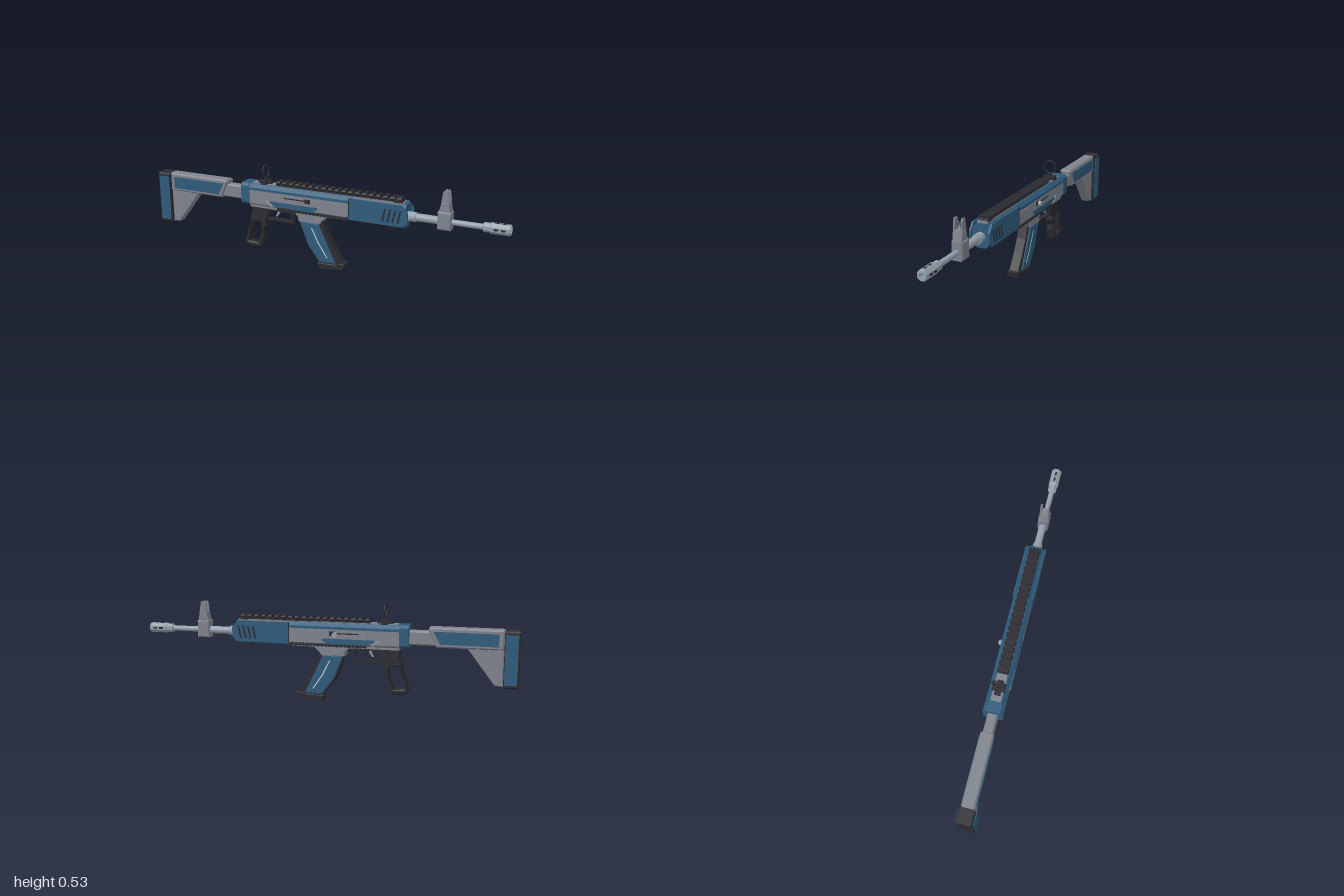
import * as THREE from 'three';

const mat = (name, color) => Object.assign(new THREE.MeshStandardMaterial({ color }), { name });

export function createModel() {
  const blue = mat('blue', 0x2f5b7b), grey = mat('grey', 0x7f838d), steel = mat('steel', 0x939faa);
  const black = mat('black', 0x2b2b31), pale = mat('pale', 0xb9c6d0);
  const root = new THREE.Group();
  root.name = 'rifle';
  root.position.z = 0.005;

  const add = (name, geo, m) => {
    const mesh = new THREE.Mesh(geo, m);
    mesh.name = name;
    root.add(mesh);
    return mesh;
  };
  // box given by its limits in x and y, and centre and half width in z
  const box = (name, m, x0, x1, y0, y1, half, z = 0) =>
    add(name, new THREE.BoxGeometry(x1 - x0, y1 - y0, half * 2).translate((x0 + x1) / 2, (y0 + y1) / 2, z), m);
  const shapeOf = (pts, hole) => {
    const s = new THREE.Shape(pts.map(p => new THREE.Vector2(...p)));
    if (hole) s.holes.push(new THREE.Path(hole.map(p => new THREE.Vector2(...p))));
    return s;
  };
  // side profile extruded across z
  const slab = (name, m, pts, half, { z = 0, bevel = 0, hole } = {}) => {
    const geo = new THREE.ExtrudeGeometry(shapeOf(pts, hole), {
      depth: 2 * (half - bevel), bevelEnabled: bevel > 0, bevelSize: bevel,
      bevelThickness: bevel, bevelOffset: -bevel, bevelSegments: 1,
    });
    return add(name, geo.translate(0, 0, z - half + bevel), m);
  };
  // thin painted plate on both sides
  const plates = (name, m, pts, z, t = 0.004) => {
    for (const s of [1, -1]) slab(name, m, pts, t / 2, { z: s * (z + t / 2) });
  };
  const rect = (x0, x1, y0, y1) => [[x0, y0], [x1, y0], [x1, y1], [x0, y1]];
  // chamfered cross-section extruded along x
  const prism = (name, m, x0, x1, half, y0, y1, cTop, cBottom) => {
    const pts = [[-half + cBottom, y0], [half - cBottom, y0], [half, y0 + cBottom], [half, y1 - cTop],
      [half - cTop, y1], [-half + cTop, y1], [-half, y1 - cTop], [-half, y0 + cBottom]];
    const geo = new THREE.ExtrudeGeometry(shapeOf(pts), { depth: x1 - x0, bevelEnabled: false });
    return add(name, geo.rotateY(Math.PI / 2).translate(x0, 0, 0), m);
  };
  const AXIS = 0.357;
  const rod = (name, m, x0, x1, r, y = AXIS, sides = 20) =>
    add(name, new THREE.CylinderGeometry(r, r, x1 - x0, sides).rotateZ(-Math.PI / 2).translate((x0 + x1) / 2, y, 0), m);

  // Shoulder stock
  slab('buttPad', black, rect(-1, -0.922, 0.13, 0.42), 0.043, { bevel: 0.008 });
  plates('buttPadPanel', blue, rect(-0.99, -0.926, 0.148, 0.402), 0.042);
  for (let i = 0; i < 9; i++) box('buttPadRib', black, -1, -0.99, 0.15 + i * 0.028, 0.164 + i * 0.028, 0.038);
  slab('stockBody', grey, [[-0.922, 0.32], [-0.585, 0.32], [-0.545, 0.41], [-0.55, 0.422], [-0.922, 0.422]], 0.034, { bevel: 0.008 });
  plates('stockPanel', blue, [[-0.895, 0.337], [-0.605, 0.337], [-0.57, 0.402], [-0.895, 0.402]], 0.033);
  slab('stockBrace', grey, [[-0.922, 0.135], [-0.88, 0.138], [-0.74, 0.322], [-0.922, 0.322]], 0.026,
    { bevel: 0.005, hole: [[-0.882, 0.2], [-0.8, 0.315], [-0.882, 0.315]] });
  prism('bufferTube', grey, -0.6, -0.44, 0.026, 0.326, 0.4, 0.008, 0.008);

  // Receiver
  prism('receiver', grey, -0.405, 0.19, 0.046, 0.307, 0.42, 0.015, 0.012);
  prism('receiverRearCap', blue, -0.448, -0.4, 0.051, 0.31, 0.428, 0.014, 0.014);
  prism('receiverTopCover', blue, -0.405, 0.19, 0.05, 0.394, 0.426, 0.018, 0);
  box('receiverTopStrip', grey, -0.39, 0.47, 0.418, 0.43, 0.026);
  plates('receiverUpperPanel', grey, rect(-0.23, -0.02, 0.345, 0.392), 0.046, 0.003);
  plates('receiverFrontPanel', grey, rect(0, 0.18, 0.322, 0.385), 0.046, 0.003);
  plates('ejectionSlot', black, rect(-0.19, -0.05, 0.37, 0.376), 0.049, 0.002);
  plates('portOpening', black, rect(-0.065, -0.035, 0.36, 0.383), 0.049, 0.002);
  plates('lowerBlueGuard', blue, [[-0.24, 0.318], [-0.02, 0.318], [0.005, 0.335], [0.005, 0.345], [-0.27, 0.345], [-0.27, 0.336]], 0.046, 0.006);
  plates('selectorLever', steel, [[-0.3, 0.345], [-0.29, 0.345], [-0.255, 0.315], [-0.265, 0.315]], 0.046, 0.004);
  plates('lowerSideRail', black, rect(-0.23, 0.18, 0.304, 0.312), 0.044, 0.006);
  for (let i = 0; i < 20; i++)
    plates('lowerSideRailTooth', black, rect(-0.226 + i * 0.0205, -0.216 + i * 0.0205, 0.302, 0.317), 0.046, 0.006);
  box('lowerReceiver', grey, -0.4, 0.17, 0.297, 0.31, 0.036);
  box('triggerHousing', black, -0.4, -0.14, 0.285, 0.3, 0.024);
  add('chargingHandle', new THREE.CylinderGeometry(0.014, 0.014, 0.02, 12).rotateX(Math.PI / 2).translate(-0.065, 0.368, -0.056), steel);

  // Handguard
  prism('handguardCore', blue, 0.185, 0.485, 0.046, 0.3, 0.42, 0.022, 0.022);
  plates('handguardSide', blue,
    [[0.185, 0.31], [0.475, 0.31], [0.5, 0.335], [0.5, 0.385], [0.47, 0.422], [0.185, 0.422]], 0.045, 0.0095);
  for (let i = 0; i < 4; i++) {
    const x = 0.365 + i * 0.027;
    plates('handguardVent', black, [[x, 0.33], [x + 0.009, 0.328], [x + 0.023, 0.393], [x + 0.014, 0.395]], 0.0535, 0.0025);
  }
  plates('handguardSeam', black, rect(0.183, 0.188, 0.31, 0.422), 0.0535, 0.002);
  add('handguardStud', new THREE.CylinderGeometry(0.018, 0.014, 0.02, 12).translate(0.413, 0.294, 0), black);

  // Top rail
  box('topRail', black, -0.245, 0.46, 0.428, 0.44, 0.026);
  for (let i = 0; i < 19; i++) prism('railTooth', black, -0.243 + i * 0.0378, -0.221 + i * 0.0378, 0.031, 0.435, 0.452, 0.006, 0.006);
  slab('railEnd', black, [[0.42, 0.425], [0.465, 0.425], [0.458, 0.445], [0.42, 0.45]], 0.028);

  // Rear ring sight
  box('ringSightBase', black, -0.36, -0.282, 0.426, 0.44, 0.016);
  box('ringSightClamp', black, -0.338, -0.302, 0.426, 0.447, 0.033);
  box('ringSightStem', black, -0.327, -0.313, 0.44, 0.463, 0.008);
  add('ringSight', new THREE.TorusGeometry(0.0345, 0.0038, 8, 36).rotateY(Math.PI / 2).translate(-0.32, 0.496, 0), black);

  // Barrel and muzzle
  rod('gasBlock', steel, 0.48, 0.53, 0.026, AXIS, 8);
  rod('barrelSleeve', steel, 0.48, 0.65, 0.02);
  rod('barrel', steel, 0.6, 0.9, 0.0145);
  const muzzle = new THREE.LatheGeometry([[0.0145, 0.862], [0.024, 0.868], [0.024, 0.897], [0.028, 0.904], [0.028, 0.993],
    [0.024, 1], [0.013, 1], [0.013, 0.95], [0, 0.95]].map(p => new THREE.Vector2(...p)), 8, Math.PI / 8).toNonIndexed();
  muzzle.computeVertexNormals();
  add('muzzleBrake', muzzle.rotateZ(-Math.PI / 2).translate(0, AXIS, 0), steel);
  for (const [x0, x1] of [[0.92, 0.942], [0.955, 0.977]]) {
    plates('muzzleSlot', black, rect(x0, x1, AXIS - 0.005, AXIS + 0.005), 0.0255, 0.0015);
    box('muzzleTopSlot', black, x0, x1, AXIS + 0.0255, AXIS + 0.027, 0.005);
  }

  // Front sight
  slab('frontSightBlock', grey, rect(0.643, 0.712, 0.317, 0.41), 0.029, { bevel: 0.006 });
  slab('frontSightTower', grey, [[0.648, 0.408], [0.707, 0.408], [0.698, 0.457], [0.66, 0.457]], 0.025, { bevel: 0.003 });
  for (const s of [1, -1])
    slab('frontSightEar', grey, [[0.658, 0.45], [0.7, 0.45], [0.692, 0.505], [0.688, 0.513], [0.668, 0.513], [0.664, 0.505]], 0.004, { z: s * 0.019 });
  add('frontSightPost', new THREE.ConeGeometry(0.006, 0.045, 8).translate(0.68, 0.474, 0), steel);

  // Pistol grip, trigger and guard
  slab('pistolGrip', black, [[-0.4, 0.298], [-0.29, 0.298], [-0.298, 0.25], [-0.318, 0.215], [-0.315, 0.19], [-0.333, 0.155],
    [-0.33, 0.125], [-0.345, 0.07], [-0.36, 0.06], [-0.435, 0.065], [-0.45, 0.085], [-0.41, 0.205], [-0.412, 0.235], [-0.4, 0.255]], 0.024,
    { bevel: 0.006, hole: [[-0.428, 0.09], [-0.37, 0.086], [-0.345, 0.15], [-0.342, 0.2], [-0.352, 0.208], [-0.4, 0.208]] });
  box('triggerGuardBottom', black, -0.315, -0.15, 0.226, 0.237, 0.014);
  box('triggerGuardFront', black, -0.162, -0.15, 0.226, 0.292, 0.014);
  slab('trigger', steel, [[-0.25, 0.295], [-0.232, 0.295], [-0.24, 0.27], [-0.254, 0.25], [-0.262, 0.25], [-0.25, 0.272]], 0.006);

  // Magazine
  slab('magazineWell', grey, [[-0.14, 0.3], [0.06, 0.3], [0.025, 0.268], [0.012, 0.25], [-0.112, 0.25], [-0.115, 0.275]], 0.034, { bevel: 0.004 });
  slab('magazineSpine', black, [[-0.113, 0.26], [-0.066, 0.13], [0.008, 0.03], [0.145, 0.04], [0.108, 0.095], [0.08, 0.14], [0.048, 0.2], [0.022, 0.27]], 0.027, { bevel: 0.003 });
  slab('magazineBody', blue, [[-0.104, 0.253], [-0.056, 0.13], [0.012, 0.04], [0.105, 0.045], [0.057, 0.14], [0.005, 0.253]], 0.034, { bevel: 0.004 });
  plates('magazineStripe', pale, [[-0.036, 0.225], [-0.029, 0.225], [0.012, 0.145], [0.062, 0.07], [0.055, 0.07], [0.004, 0.145]], 0.033, 0.002);
  slab('magazineBase', black, [[0.008, 0], [0.148, 0.016], [0.154, 0.045], [0.13, 0.052], [0.105, 0.04], [0.0, 0.035]], 0.033, { bevel: 0.003 });

  return root;
}
